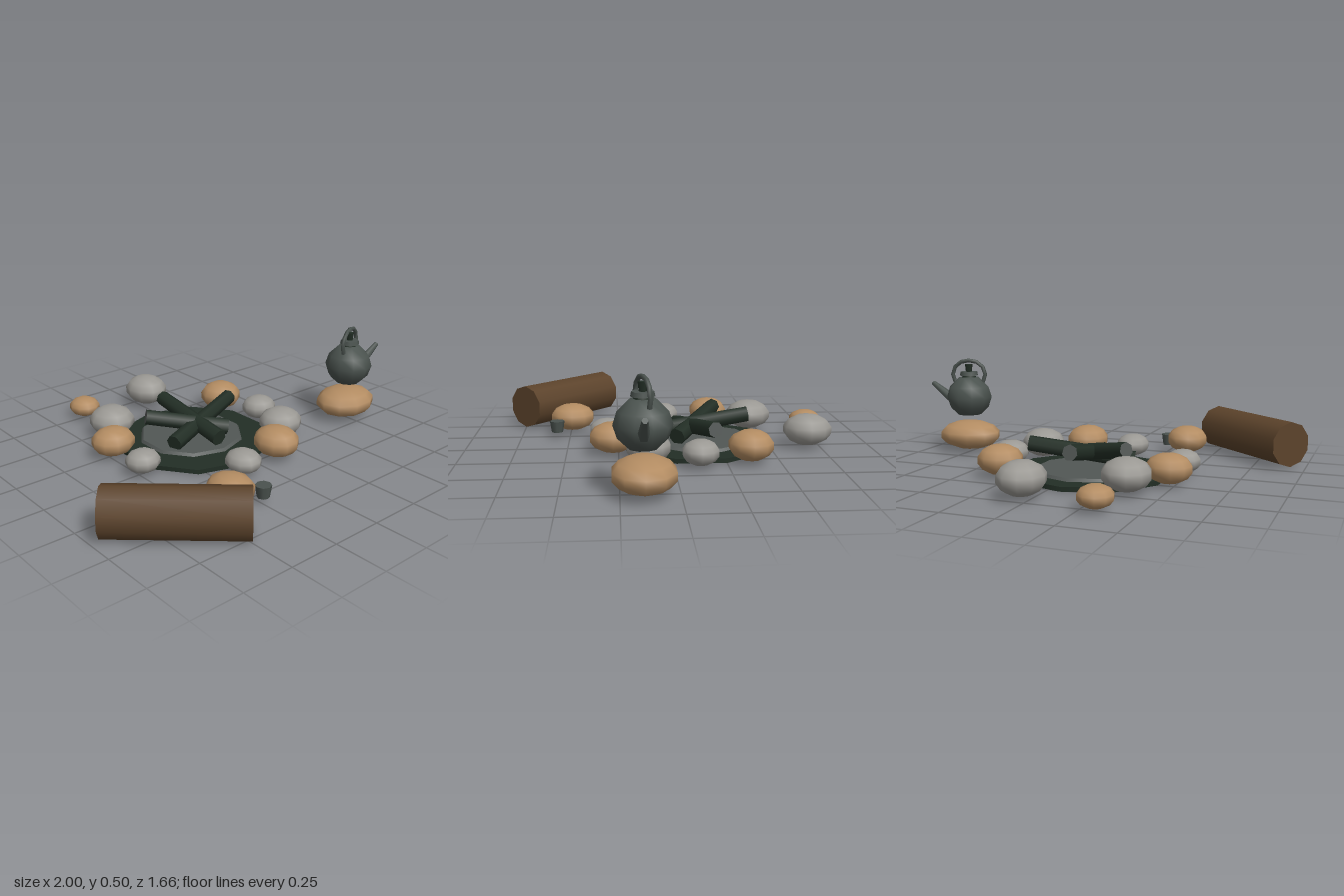
import * as THREE from 'three';

const mat = (name, color) => {
  const m = new THREE.MeshStandardMaterial({ color });
  m.name = name;
  return m;
};

export function createModel() {
  const root = new THREE.Group();
  root.name = 'campsite';
  const char = mat('charred wood', 0x222e25);
  const ash = mat('ash grey', 0x525755);
  const iron = mat('iron', 0x4a524e);
  const bark = mat('bark brown', 0x5c432b);
  const tan = mat('tan stone', 0xb38c62);
  const grey = mat('grey stone', 0x9b9994);

  const add = (parent, name, geo, material, x = 0, y = 0, z = 0) => {
    const m = new THREE.Mesh(geo, material);
    m.name = name;
    m.position.set(x, y, z);
    parent.add(m);
    return m;
  };

  // Cylinder running from point a to point b
  const rod = (parent, name, a, b, ra, rb, sides, material) => {
    const A = new THREE.Vector3(...a), B = new THREE.Vector3(...b);
    const dir = B.clone().sub(A);
    const m = add(parent, name, new THREE.CylinderGeometry(rb, ra, dir.length(), sides), material);
    m.position.copy(A).add(B).multiplyScalar(0.5);
    m.quaternion.setFromUnitVectors(new THREE.Vector3(0, 1, 0), dir.normalize());
    return m;
  };

  // Fire bed
  const fire = new THREE.Group();
  fire.name = 'campfire';
  root.add(fire);
  add(fire, 'scorchedGround', new THREE.CylinderGeometry(0.385, 0.385, 0.022, 10), char, -0.06, 0.011, -0.135);
  add(fire, 'ashBed', new THREE.CylinderGeometry(0.255, 0.265, 0.014, 10), ash, -0.06, 0.029, -0.16);

  // Burnt sticks, each leaning up to its outer end
  const stickMats = [char, ash, char];
  [
    [[-0.055, 0.075, 0.055], [-0.06, 0.15, -0.4]],
    [[0.075, 0.07, -0.035], [-0.275, 0.15, -0.25]],
    [[-0.25, 0.065, -0.055], [0.235, 0.14, -0.205]],
  ].forEach(([a, b]) => rod(fire, 'burntStick', a, b, 0.042, 0.038, 7, stickMats));

  // Stones: x, z, half sizes in x, y, z, material
  const stones = [
    [-0.32, -0.755, 0.08, 0.05, 0.085, tan],
    [0.04, -0.685, 0.11, 0.078, 0.122, grey],
    [-0.345, -0.45, 0.115, 0.076, 0.118, grey],
    [-0.475, -0.245, 0.11, 0.07, 0.102, tan],
    [-0.475, 0, 0.086, 0.056, 0.082, grey],
    [0.31, -0.36, 0.11, 0.073, 0.108, tan],
    [0.375, -0.12, 0.092, 0.06, 0.088, grey],
    [0.305, 0.115, 0.112, 0.072, 0.108, grey],
    [0.12, 0.275, 0.108, 0.074, 0.118, tan],
    [-0.122, 0.305, 0.085, 0.056, 0.092, grey],
    [-0.365, 0.49, 0.106, 0.07, 0.117, tan],
    [0.76, 0.15, 0.17, 0.078, 0.142, tan],
  ];
  for (const [x, z, rx, ry, rz, material] of stones) {
    const geo = new THREE.SphereGeometry(1, 10, 7);
    geo.scale(rx, ry, rz);
    add(root, 'stone', geo, material, x, ry + 0.012, z);
  }

  // Sitting log
  const log = add(root, 'sittingLog', new THREE.CylinderGeometry(0.113, 0.113, 0.613, 10).rotateX(Math.PI / 2), bark, -0.7, 0.116, 0.543);
  log.rotation.y = Math.atan2(0.455, 0.411);

  // Small tin cup
  add(root, 'cup', new THREE.CylinderGeometry(0.038, 0.029, 0.058, 8), iron, -0.24, 0.058, 0.565);

  // Kettle on the big stone
  const kettle = new THREE.Group();
  kettle.name = 'kettle';
  kettle.position.set(0.765, 0, 0.155);
  root.add(kettle);
  const profile = [[0, 0.2], [0.062, 0.2], [0.104, 0.24], [0.122, 0.295], [0.105, 0.35], [0.055, 0.4], [0, 0.405]];
  add(kettle, 'kettleBody', new THREE.LatheGeometry(profile.map(p => new THREE.Vector2(...p)), 10), iron);
  add(kettle, 'neck', new THREE.CylinderGeometry(0.035, 0.04, 0.016, 8), char, 0, 0.405, 0);
  add(kettle, 'lid', new THREE.CylinderGeometry(0.046, 0.05, 0.02, 8), iron, 0, 0.421, 0);
  add(kettle, 'knob', new THREE.CylinderGeometry(0.02, 0.016, 0.042, 6), char, 0, 0.45, 0);
  rod(kettle, 'spout', [0.075, 0.26, 0], [0.225, 0.362, 0], 0.028, 0.013, 6, iron);

  // Arched handle
  const arch = new THREE.CatmullRomCurve3(
    [[-0.075, 0.375], [-0.088, 0.42], [-0.062, 0.472], [0, 0.491], [0.062, 0.472], [0.088, 0.42], [0.075, 0.375]]
      .map(([x, y]) => new THREE.Vector3(x, y, 0)));
  add(kettle, 'handle', new THREE.TubeGeometry(arch, 8, 0.011, 5), iron).rotation.y = 0.32;

  return root;
}
